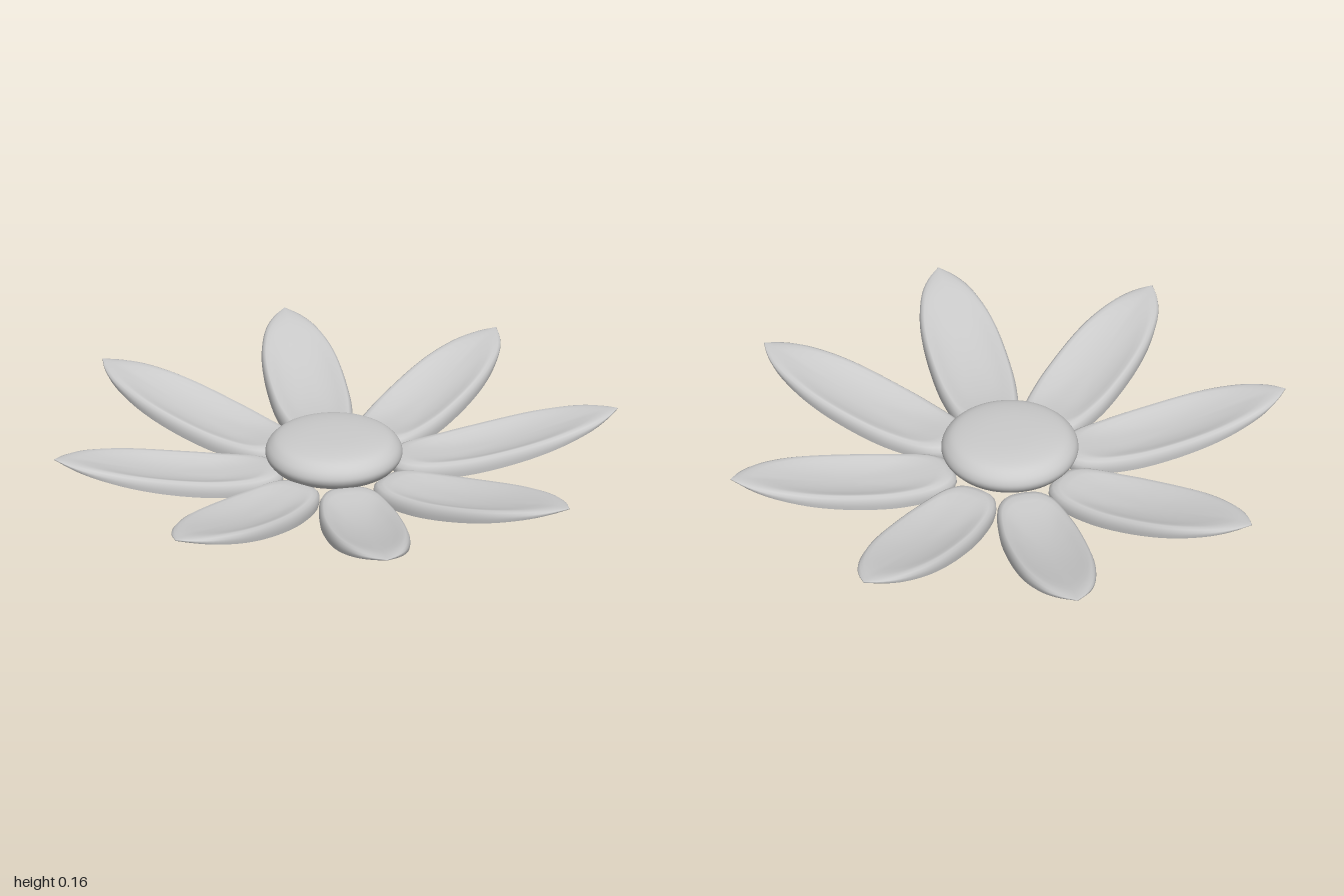
import * as THREE from 'three';
import { mergeVertices } from 'three/addons/utils/BufferGeometryUtils.js';

const material = new THREE.MeshStandardMaterial({ color: 0xcccccc, side: THREE.DoubleSide });

// Half outline of a petal: distance from the flower centre, half width
const HALF = [[0.19, 0], [0.2, 0.055], [0.25, 0.098], [0.4, 0.131], [0.55, 0.139], [0.7, 0.133],
  [0.8, 0.116], [0.9, 0.082], [0.96, 0.042], [1, 0]];

// Rings from the lower rim, over the rounded edge, into the dished middle: scale, height
const RINGS = [[0.985, 0], [1, 0.3], [0.995, 0.6], [0.96, 0.87], [0.9, 1], [0.82, 0.97],
  [0.7, 0.84], [0.5, 0.66], [0.25, 0.57], [0, 0.55]];

const MID = 0.6;

// The petal lies flat near the centre and sweeps up and thins towards its tip
const lift = (r) => 0.15 * Math.pow(Math.max(0, (r - 0.3) / 0.7), 1.6);
const thickness = (r) => 0.005 + 0.05 * (1 - Math.pow(Math.max(0, (r - 0.19) / 0.81), 4));

function petalGeometry() {
  const curve = new THREE.CatmullRomCurve3(HALF.map(([r, w]) => new THREE.Vector3(r, 0, w)), false, 'centripetal');
  const side = curve.getSpacedPoints(40);
  const back = side.slice(1, -1).reverse().map((p) => new THREE.Vector3(p.x, 0, -p.z));
  const outline = [...side, ...back];
  const n = outline.length;
  const positions = [];
  const index = [];
  RINGS.forEach(([s, h], i) => {
    outline.forEach((p, j) => {
      const r = MID + (p.x - MID) * s;
      positions.push(r, lift(r) + thickness(r) * h, p.z * s);
      if (i === RINGS.length - 1) return;
      const a = i * n + j;
      const b = i * n + (j + 1) % n;
      index.push(a, b, b + n);
      if (i < RINGS.length - 2) index.push(a, b + n, a + n);
    });
  });
  let geometry = new THREE.BufferGeometry();
  geometry.setAttribute('position', new THREE.Float32BufferAttribute(positions, 3));
  geometry.setIndex(index);
  geometry = mergeVertices(geometry, 1e-5);
  geometry.computeVertexNormals();
  return geometry;
}

export function createModel() {
  const flower = new THREE.Group();
  flower.name = 'flower';

  // Eight petals, in two opposite sets of four
  const petal = petalGeometry();
  const angles = [3.2, 47.3, 91.2, 138.6];
  for (const turn of [0, 180]) {
    for (const angle of angles) {
      const mesh = new THREE.Mesh(petal, material);
      mesh.name = 'petal';
      mesh.rotation.y = THREE.MathUtils.degToRad(angle + turn);
      flower.add(mesh);
    }
  }

  // Hollow, flattened dome in the middle
  const profile = new THREE.SplineCurve([[0.215, 0.05], [0.233, 0.072], [0.238, 0.095], [0.225, 0.122],
    [0.19, 0.145], [0.11, 0.157], [0, 0.16]].map(([x, y]) => new THREE.Vector2(x, y)));
  const dome = new THREE.Mesh(new THREE.LatheGeometry(profile.getPoints(24), 64), material);
  dome.name = 'flowerCentre';
  dome.position.x = -0.012;
  flower.add(dome);

  return flower;
}
